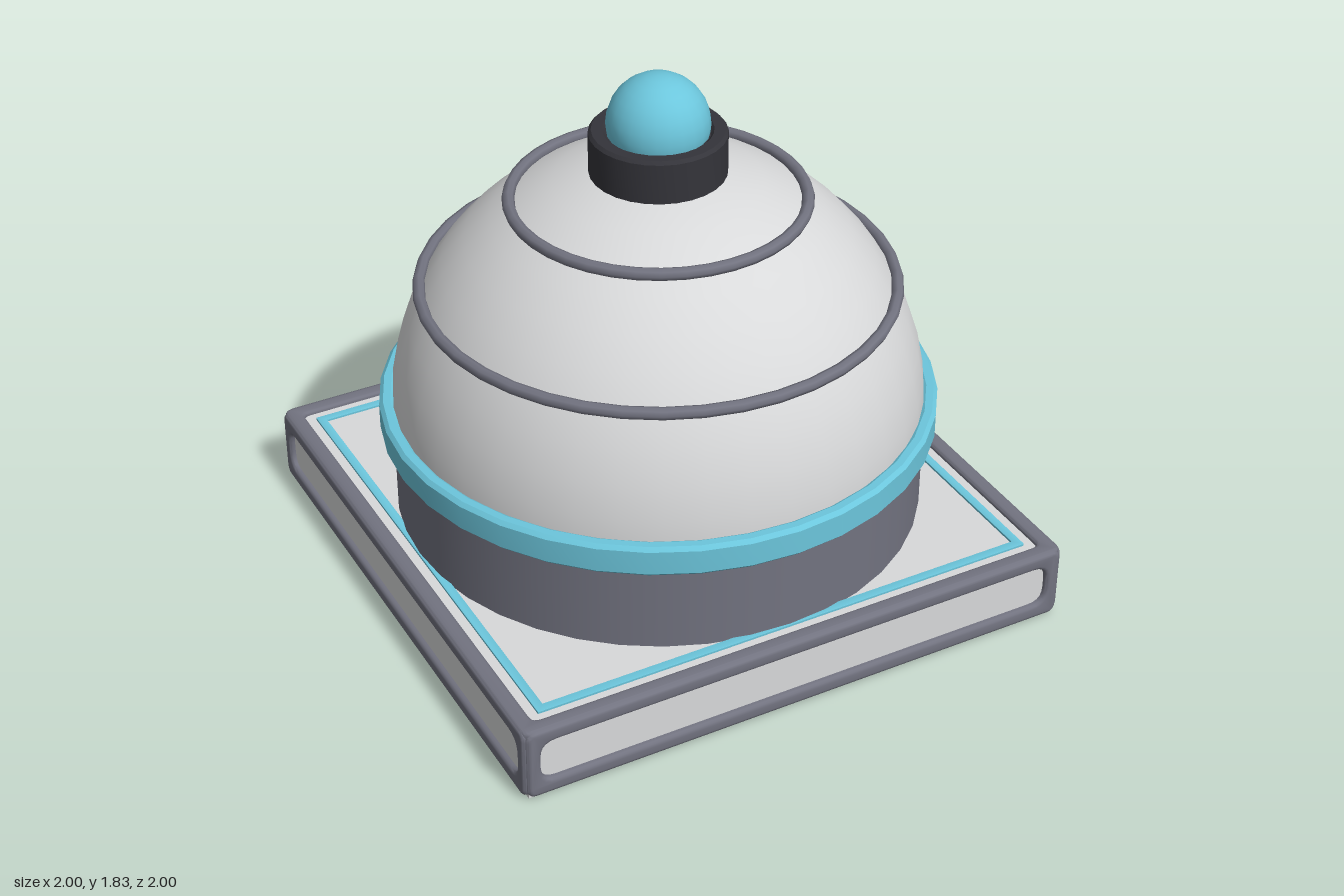
import * as THREE from 'three';
import { toCreasedNormals } from 'three/addons/utils/BufferGeometryUtils.js';

const mat = (name, color) => new THREE.MeshStandardMaterial({ name, color });

export function createModel() {
  const light = mat('lightShell', 0xd8d9da);
  const grey = mat('greyTrim', 0x727380);
  const dark = mat('darkCollar', 0x34343a);
  const cyan = mat('cyanAccent', 0x6cc6dc);

  const model = new THREE.Group();
  model.name = 'domedDevice';
  const add = (name, geometry, material, y = 0, parent = model) => {
    const mesh = new THREE.Mesh(geometry, material);
    mesh.name = name;
    mesh.position.y = y;
    parent.add(mesh);
    return mesh;
  };

  // Rounded rectangle, centred on the origin
  const trace = (path, w, h, r) => {
    const x = w / 2, y = h / 2;
    path.moveTo(x, -y + r);
    path.lineTo(x, y - r);
    path.quadraticCurveTo(x, y, x - r, y);
    path.lineTo(-x + r, y);
    path.quadraticCurveTo(-x, y, -x, y - r);
    path.lineTo(-x, -y + r);
    path.quadraticCurveTo(-x, -y, -x + r, -y);
    path.lineTo(x - r, -y);
    path.quadraticCurveTo(x, -y, x, -y + r);
    return path;
  };

  // Bevelled frame facing +z, its back at z = 0 and front at z = depth
  const frame = (w, h, iw, ih, outerR, innerR, depth, bevel) => {
    const shape = trace(new THREE.Shape(), w - 2 * bevel, h - 2 * bevel, outerR);
    shape.holes.push(trace(new THREE.Path(), iw + 2 * bevel, ih + 2 * bevel, innerR));
    const g = new THREE.ExtrudeGeometry(shape, {
      depth: depth - 2 * bevel, bevelThickness: bevel, bevelSize: bevel,
      bevelSegments: 3, curveSegments: 5,
    });
    g.translate(0, 0, bevel);
    return toCreasedNormals(g, 0.6);
  };

  // Square base: light core showing inside raised grey frames
  const base = new THREE.Group();
  base.name = 'base';
  model.add(base);
  add('baseCore', new THREE.BoxGeometry(1.96, 0.255, 1.96), light, 0.1275, base);
  const sideFrame = frame(1.98, 0.26, 1.88, 0.15, 0.02, 0.07, 0.06, 0.015);
  for (let i = 0; i < 4; i++) {
    const side = new THREE.Group();
    side.name = 'sideFrame' + (i + 1);
    side.rotation.y = i * Math.PI / 2;
    base.add(side);
    add('sideRail', sideFrame, grey, 0.14, side).position.z = 0.94;
  }
  const top = add('topFrame', frame(1.99, 1.99, 1.88, 1.88, 0.02, 0.04, 0.05, 0.012), grey, 0.221, base);
  top.rotation.x = -Math.PI / 2;

  // Thin square inlay on the base top
  const inlay = add('baseInlay', frame(1.81, 1.81, 1.75, 1.75, 0.001, 0.001, 0.009, 0.001), cyan, 0.254, base);
  inlay.rotation.x = -Math.PI / 2;

  // Drum and dome
  add('drum', new THREE.CylinderGeometry(0.9, 0.9, 0.37, 40), grey, 0.435);
  add('dome', new THREE.SphereGeometry(0.9, 40, 12, 0, Math.PI * 2, 0, Math.PI / 2), light, 0.62);

  // Turned parts with crisp edges
  const turned = (points, sides) => toCreasedNormals(
    new THREE.LatheGeometry(points.map(p => new THREE.Vector2(...p)), sides), 0.5);
  add('glowBand', turned([[0.88, 0.565], [0.93, 0.565], [0.943, 0.578], [0.943, 0.662],
    [0.93, 0.675], [0.905, 0.675], [0.88, 0.66], [0.88, 0.565]], 36), cyan);

  // Rings around the dome
  for (const [name, r, y] of [['lowerRing', 0.79, 1.08], ['upperRing', 0.487, 1.393]]) {
    const ring = add(name, new THREE.TorusGeometry(r, 0.021, 8, 40), grey, y);
    ring.rotation.x = Math.PI / 2;
  }

  // Collar and beacon
  add('collar', turned([[0, 1.47], [0.226, 1.47], [0.226, 1.63], [0.216, 1.641],
    [0.18, 1.641], [0.17, 1.63], [0, 1.63]], 28), dark);
  add('beacon', new THREE.SphereGeometry(0.17, 24, 14), cyan, 1.66);

  return model;
}
